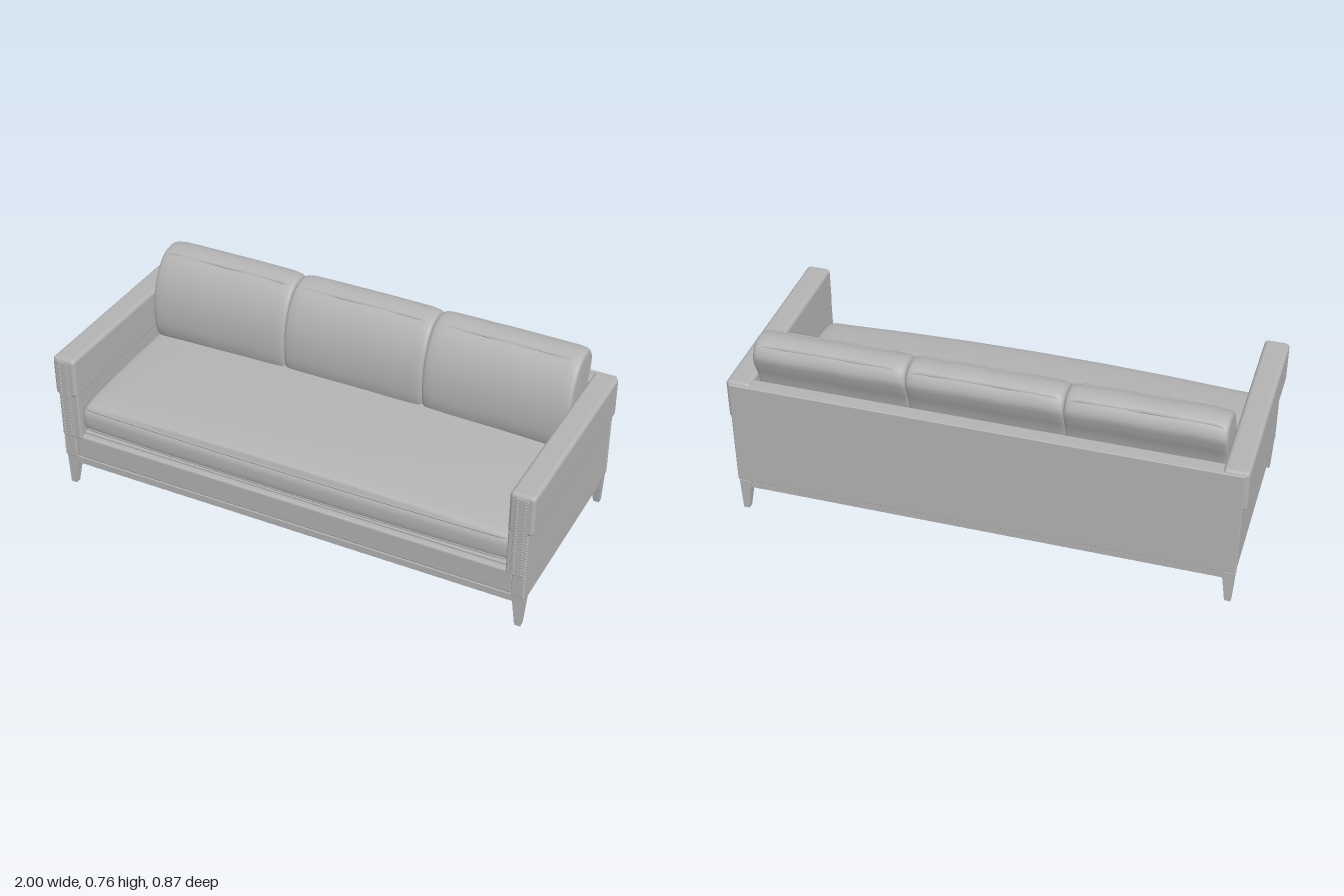
import * as THREE from 'three';
import { mergeGeometries } from 'three/addons/utils/BufferGeometryUtils.js';
import { RoundedBoxGeometry } from 'three/addons/geometries/RoundedBoxGeometry.js';

const grey = new THREE.MeshStandardMaterial({ color: 0xb3b3b3 });
grey.name = 'soft grey';

function add(parent, name, geometry) {
  const mesh = new THREE.Mesh(geometry, grey);
  mesh.name = name;
  parent.add(mesh);
  return mesh;
}

// Rounded block given by its limits on each axis
function block(parent, name, [x0, x1], [y0, y1], [z0, z1], r = 0.006) {
  const g = new RoundedBoxGeometry(x1 - x0, y1 - y0, z1 - z0, 3, r);
  g.translate((x0 + x1) / 2, (y0 + y1) / 2, (z0 + z1) / 2);
  return add(parent, name, g);
}

// Piping along a list of points
function pipe(parent, name, pts, r, closed = false) {
  const curve = new THREE.CatmullRomCurve3(pts.map(p => new THREE.Vector3(...p)), closed, 'catmullrom', 0.15);
  return add(parent, name, new THREE.TubeGeometry(curve, 80, r, 6, closed));
}

// Stuffed cushion: a closed [z, y] profile carried along x, drawn in at both ends
function cushion(profile, half, [cz, cy], shape) {
  const curve = new THREE.CatmullRomCurve3(profile.map(([z, y]) => new THREE.Vector3(0, y, z)), true, 'centripetal');
  const ring = curve.getPoints(56).slice(0, -1);
  const n = ring.length;
  const ends = [[1, 0.001], [1, 0.5], [1, 0.86], [0.992, 0.92], [0.975, 0.955], [0.94, 0.98], [0.85, 0.995], [0.6, 1], [0.3, 1]];
  const stations = [...ends.map(([u, s]) => [-u, s]), [0, 1], ...ends.slice().reverse()];
  const pos = [], index = [];
  stations.forEach(([u, s], i) => {
    ring.forEach((p, j) => {
      const [sz, sy] = shape(u, s, p);
      pos.push(u * half, cy + (p.y - cy) * sy[0] + sy[1], cz + (p.z - cz) * sz);
      if (i < stations.length - 1) {
        const a = i * n + j, b = i * n + (j + 1) % n, c = a + n, d = b + n;
        index.push(a, c, b, c, d, b);
      }
    });
  });
  const g = new THREE.BufferGeometry();
  g.setAttribute('position', new THREE.Float32BufferAttribute(pos, 3));
  g.setIndex(index);
  g.computeVertexNormals();
  return g;
}

// Row of small nail heads between two points
function nailRow(a, b, step = 0.0125) {
  const from = new THREE.Vector3(...a), to = new THREE.Vector3(...b);
  const count = Math.round(from.distanceTo(to) / step);
  return Array.from({ length: count + 1 }, (_, i) => {
    const p = from.clone().lerp(to, i / count);
    return new THREE.SphereGeometry(0.0042, 6, 4).translate(p.x, p.y, p.z);
  });
}

// Tapered leg: outer faces upright, inner faces slanting
function leg(sx, sz, zOut) {
  const g = new THREE.BoxGeometry(1, 0.135, 1);
  const p = g.attributes.position;
  for (let i = 0; i < p.count; i++) {
    const top = p.getY(i) > 0;
    const outX = p.getX(i) * sx > 0, outZ = p.getZ(i) * sz > 0;
    p.setXYZ(i,
      sx * (outX ? (top ? 0.98 : 0.974) : (top ? 0.932 : 0.95)),
      top ? 0.135 : 0,
      sz * (outZ ? zOut : zOut - (top ? 0.046 : 0.024)));
  }
  g.computeVertexNormals();
  return g;
}

export function createModel() {
  const sofa = new THREE.Group();
  sofa.name = 'sofa';

  // Wooden base: rails and legs
  const base = new THREE.Group();
  base.name = 'base';
  sofa.add(base);
  block(base, 'frontBaseRail', [-0.95, 0.95], [0.105, 0.136], [0.388, 0.418], 0.002);
  block(base, 'backBaseRail', [-0.95, 0.95], [0.105, 0.136], [-0.428, -0.398], 0.002);
  for (const s of [-1, 1]) {
    const xs = [0.945 * s, 0.975 * s].sort((a, b) => a - b);
    block(base, 'sideBaseRail', xs, [0.105, 0.136], [-0.41, 0.4], 0.002);
    add(base, 'frontLeg', leg(s, 1, 0.42));
    add(base, 'backLeg', leg(s, -1, 0.432));
  }

  // Body: deck, front rail and back
  block(sofa, 'deck', [-0.96, 0.96], [0.125, 0.25], [-0.415, 0.395], 0.003);
  block(sofa, 'frontRail', [-0.932, 0.932], [0.136, 0.241], [0.37, 0.418], 0.01);
  block(sofa, 'backFrame', [-0.92, 0.92], [0.2, 0.59], [-0.426, -0.365], 0.012);
  block(sofa, 'backPanel', [-0.985, 0.985], [0.138, 0.593], [-0.434, -0.42], 0.005);

  // Arms
  for (const s of [-1, 1]) {
    const arm = new THREE.Group();
    arm.name = s > 0 ? 'leftArm' : 'rightArm';
    sofa.add(arm);
    const span = (a, b) => [a * s, b * s].sort((p, q) => p - q);
    block(arm, 'armSide', span(0.93, 0.982), [0.136, 0.58], [-0.422, 0.427], 0.005);
    block(arm, 'armPad', span(0.902, 1.0), [0.427, 0.6], [-0.423, 0.432], 0.016);
    block(arm, 'innerArm', span(0.903, 0.94), [0.23, 0.59], [-0.41, 0.425], 0.008);
    block(arm, 'armFrontPanel', span(0.926, 0.978), [0.24, 0.585], [0.41, 0.436], 0.005);
    pipe(arm, 'armFrontPiping', [
      [0.928 * s, 0.245, 0.433], [0.928 * s, 0.575, 0.433], [0.936 * s, 0.584, 0.433],
      [0.968 * s, 0.584, 0.433], [0.976 * s, 0.575, 0.433], [0.976 * s, 0.245, 0.433]], 0.003);
    add(arm, 'nailHeads', mergeGeometries([
      ...nailRow([0.982 * s, 0.419, -0.41], [0.982 * s, 0.419, 0.41]),
      ...nailRow([0.978 * s, 0.145, 0.427], [0.978 * s, 0.415, 0.427]),
      ...nailRow([0.937 * s, 0.25, 0.436], [0.937 * s, 0.57, 0.436]),
      ...nailRow([0.967 * s, 0.25, 0.436], [0.967 * s, 0.57, 0.436]),
    ]));
  }

  // Long seat cushion, crowned in the middle and bowed at the front
  const seatProfile = [[-0.34, 0.25], [0, 0.245], [0.36, 0.245], [0.392, 0.255], [0.404, 0.275], [0.408, 0.31],
    [0.404, 0.345], [0.385, 0.366], [0.3, 0.383], [0.1, 0.393], [-0.15, 0.395], [-0.34, 0.392], [-0.36, 0.32]];
  add(sofa, 'seatCushion', cushion(seatProfile, 0.903, [0, 0.31], (u, s, p) => {
    const bow = 1 - u * u;
    return [s < 0.85 ? s : 0.9 + 0.1 * Math.pow(s, 0.5) - 0.02 + 0.03 * bow,
      [s, p.y > 0.36 ? 0.02 * bow : 0]];
  }));
  for (const [y, z] of [[0.268, 0.398], [0.357, 0.393]]) {
    const bend = u => [u * 0.896, y, z - 0.006 + 0.012 * (1 - u * u)];
    pipe(sofa, 'seatPiping', [[-0.9, y, z - 0.05], ...[-0.985, -0.7, -0.35, 0, 0.35, 0.7, 0.985].map(bend),
      [0.9, y, z - 0.05]], 0.005);
  }

  // Three leaning back cushions with piped seams
  const backProfile = [[-0.29, 0.385], [-0.17, 0.385], [-0.148, 0.43], [-0.143, 0.51], [-0.156, 0.6], [-0.19, 0.68],
    [-0.24, 0.737], [-0.3, 0.757], [-0.35, 0.745], [-0.377, 0.7], [-0.366, 0.65], [-0.342, 0.59], [-0.315, 0.48]];
  const half = 0.301;
  for (const i of [-1, 0, 1]) {
    const group = new THREE.Group();
    group.name = 'backCushion';
    group.position.x = i * 0.602;
    sofa.add(group);
    add(group, 'backCushionBody', cushion(backProfile, half, [-0.26, 0.57], (u, s) =>
      [s, [s, 0.002 * Math.sin(u * 7 + i) * s]]));
    const seams = [[-0.25, 0.739, -0.2, 0.41], [-0.353, 0.738, -0.295, 0.41]];
    for (const [zt, yt, zb, yb] of seams) {
      const e = half - 0.004, zc = zt + (zb - zt) * 0.08;
      pipe(group, 'backCushionPiping', [
        [-e, yb, zb], [-e, yt - 0.035, zc], [-e + 0.012, yt - 0.01, zt], [-e + 0.05, yt, zt], [0, yt + 0.002, zt],
        [e - 0.05, yt, zt], [e - 0.012, yt - 0.01, zt], [e, yt - 0.035, zc], [e, yb, zb]], 0.005);
    }
  }
  return sofa;
}
